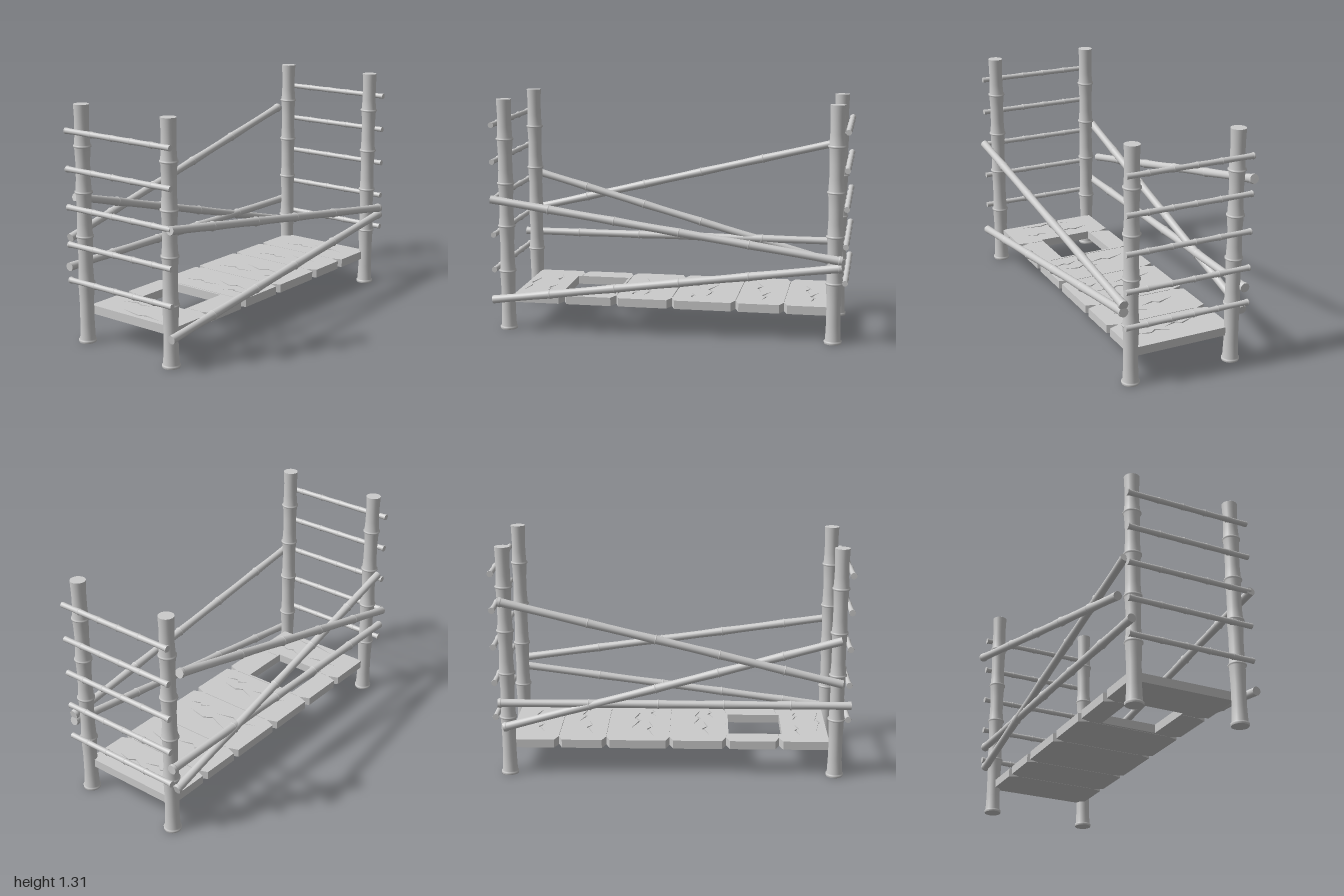
import * as THREE from 'three';

const material = new THREE.MeshStandardMaterial({ color: 0xcccccc });

// Bamboo cane between two points: waisted segments with a ring at every node
function bamboo(name, from, to, radius) {
  const a = new THREE.Vector3(...from), b = new THREE.Vector3(...to);
  const length = a.distanceTo(b);
  const nodes = [0.17, 0.36, 0.545, 0.742, 0.992];
  const lip = radius * 0.16; // half height of a ring
  const pts = [[0, 0], [radius * 1.03, 0]];
  let start = 0;
  for (const n of nodes) {
    const y = n * length;
    pts.push([radius * 0.95, start + (y - start) * 0.35]);
    pts.push([radius * 0.96, start + (y - start) * 0.7]);
    pts.push([radius * 1.05, y - lip * 1.2]);
    pts.push([radius * 1.2, y - lip * 0.6], [radius * 1.2, y + lip * 0.6]);
    pts.push([radius * 1.05, y + lip * 1.2]);
    start = y + lip * 1.2;
  }
  pts[pts.length - 1] = [radius * 1.15, length];
  pts.push([0, length]);
  // Doubled corner points keep the end caps crisp
  const profile = [];
  pts.forEach(([r, y], i) => {
    profile.push(new THREE.Vector2(r, y));
    if (i === 1 || i === pts.length - 2) profile.push(new THREE.Vector2(r, y + (i === 1 ? 1e-4 : 2e-4)));
  });
  profile[profile.length - 1].y = length + 2e-4;
  const mesh = new THREE.Mesh(new THREE.LatheGeometry(profile, 20), material);
  mesh.name = name;
  mesh.position.copy(a);
  mesh.quaternion.setFromUnitVectors(new THREE.Vector3(0, 1, 0), b.sub(a).normalize());
  return mesh;
}

const seams = [-0.61, -0.31, 0.01, 0.37, 0.64];
const X0 = -0.89, X1 = 0.92, Z0 = -0.29, Z1 = 0.31;

// Floor outline with a V notch at both ends of each seam; shape y is -z
function floorShape() {
  const s = new THREE.Shape();
  s.moveTo(X0, -Z1);
  for (const x of seams) {
    s.lineTo(x - 0.022, -Z1);
    s.lineTo(x, -Z1 + 0.06);
    s.lineTo(x + 0.022, -Z1);
  }
  s.lineTo(X1, -Z1);
  s.lineTo(X1, -Z0);
  for (const x of [...seams].reverse()) {
    s.lineTo(x + 0.022, -Z0);
    s.lineTo(x, -Z0 - 0.06);
    s.lineTo(x - 0.022, -Z0);
  }
  s.lineTo(X0, -Z0);
  s.holes.push(polygon([[-0.63, -0.165], [-0.325, -0.165], [-0.325, 0.155], [-0.63, 0.155]]));
  return s;
}

function polygon(points) {
  return new THREE.Path(points.map(([x, z]) => new THREE.Vector2(x, -z)));
}

// Narrow seam lines between the planks
function seamHoles() {
  const slit = (x, z0, z1) => polygon([[x - 0.002, z0], [x + 0.002, z0], [x + 0.002, z1], [x - 0.002, z1]]);
  return seams.flatMap((x, i) => i === 0
    ? [slit(x, -0.215, -0.175), slit(x, 0.165, 0.235)]
    : [slit(x, -0.215, 0.235)]);
}

// Bent, pointed crack running along the grain
function crack([x, z, length, lean]) {
  const w = 0.006;
  return polygon([
    [x, z], [x + lean + w, z + length * 0.45], [x + lean * 0.4 + w, z + length * 0.6],
    [x + lean, z + length], [x + lean * 0.4 - w, z + length * 0.6], [x + lean - w, z + length * 0.45],
  ]);
}

function floorLayer(name, y, height, holes) {
  const shape = floorShape();
  shape.holes.push(...holes);
  const geometry = new THREE.ExtrudeGeometry(shape, { depth: height, bevelEnabled: false });
  geometry.rotateX(-Math.PI / 2);
  const mesh = new THREE.Mesh(geometry, material);
  mesh.name = name;
  mesh.position.y = y;
  return mesh;
}

export function createModel() {
  const model = new THREE.Group();
  model.name = 'bambooFrame';

  // Corner posts, ring end on the ground
  for (const [x, side] of [[-0.923, 'Right'], [0.915, 'Left']]) {
    for (const [z, end] of [[0.315, 'front'], [-0.288, 'back']]) {
      model.add(bamboo(`${end}${side}Post`, [x, 1.31, z], [x, 0, z], 0.041));
    }
  }

  // Ladder rungs on both ends
  for (const [x, side] of [[-0.982, 'right'], [0.976, 'left']]) {
    const ladder = new THREE.Group();
    ladder.name = `${side}Ladder`;
    for (const y of [1.17, 0.965, 0.757, 0.552, 0.353]) {
      ladder.add(bamboo('rung', [x, y, 0.378], [x, y, -0.347], 0.0152));
    }
    model.add(ladder);
  }

  // Long rails, two in front and three behind
  const rails = [
    ['frontUpperRail', [-0.993, 0.755, 0.378], [0.958, 0.475, 0.378]],
    ['frontLowerRail', [-0.993, 0.18, 0.378], [0.958, 0.437, 0.378]],
    ['backLevelRail', [-0.998, 0.432, -0.336], [0.962, 0.432, -0.336]],
    ['backFallingRail', [-0.935, 0.805, -0.34], [0.935, 0.29, -0.34]],
    ['backRisingRail', [-0.94, 0.572, -0.383], [0.935, 1.026, -0.383]],
  ];
  for (const [name, from, to] of rails) model.add(bamboo(name, from, to, 0.0225));

  // Cracked plank floor: a core between thin grooved skins
  const cracks = [
    [-0.83, -0.12, 0.32, -0.03], [-0.74, -0.2, 0.2, 0.03], [-0.7, 0.06, 0.15, -0.03],
    [-0.22, -0.2, 0.24, 0.04], [-0.12, -0.02, 0.24, -0.04], [-0.24, 0.1, 0.14, 0.03],
    [0.1, -0.22, 0.26, 0.04], [0.24, -0.1, 0.3, -0.05], [0.1, 0.12, 0.12, 0.03],
    [0.45, -0.18, 0.22, 0.04], [0.55, 0.02, 0.2, -0.04],
    [0.73, -0.16, 0.2, 0.04], [0.82, 0.0, 0.22, -0.04],
  ].map(crack);
  const floor = new THREE.Group();
  floor.name = 'floor';
  floor.add(
    floorLayer('floorUnderside', 0.152, 0.005, seamHoles()),
    floorLayer('floorCore', 0.157, 0.036, []),
    floorLayer('floorTop', 0.193, 0.007, [...seamHoles(), ...cracks]),
  );
  model.add(floor);

  return model;
}
